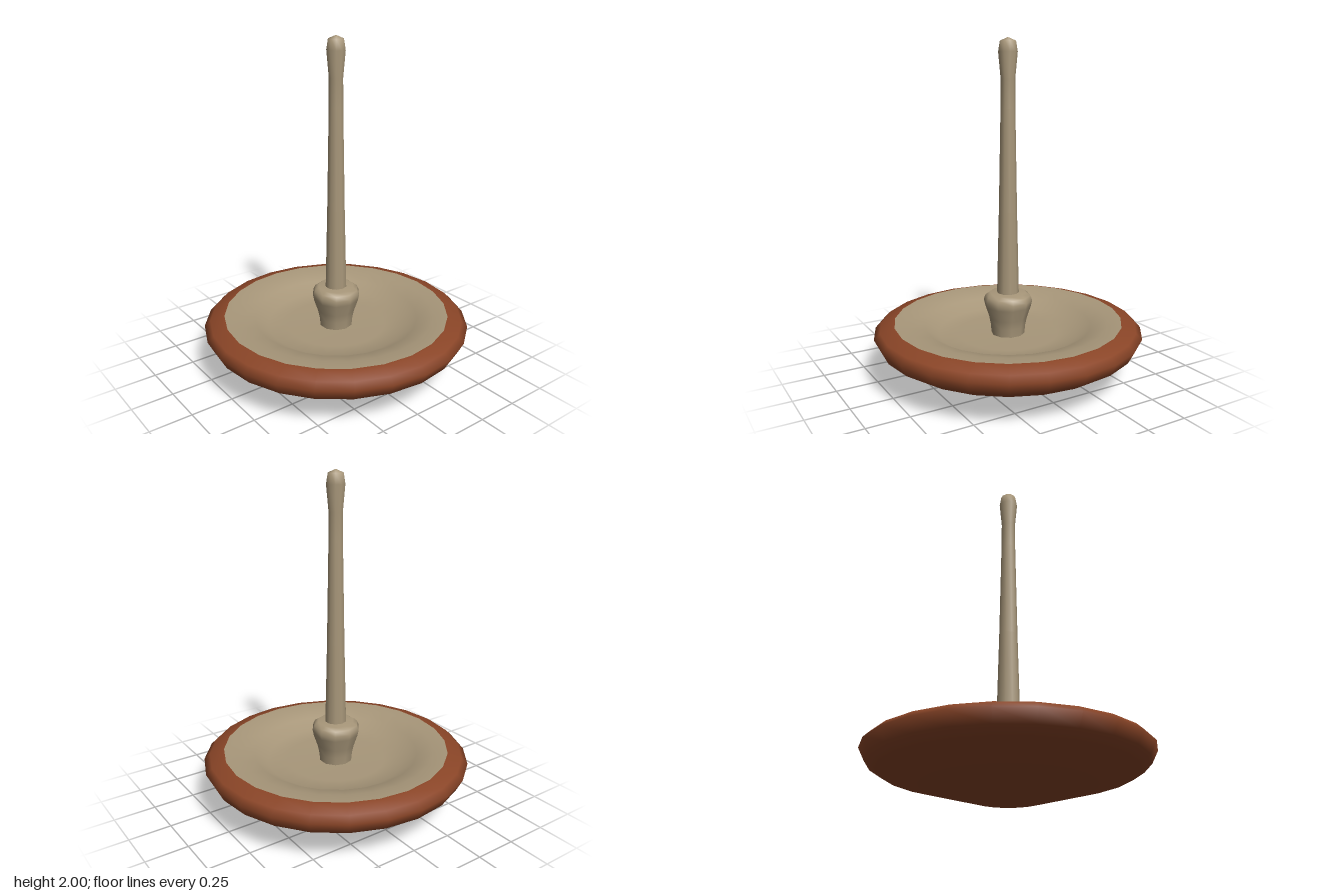
import * as THREE from 'three';

const material = (name, color) => {
  const m = new THREE.MeshStandardMaterial({ color });
  m.name = name;
  return m;
};

// Turned part: profile of [radius, height] from the bottom outside to the top
function turned(name, profile, sides, mat, start = 0) {
  const points = profile.map(([r, y]) => new THREE.Vector2(r, y));
  const mesh = new THREE.Mesh(new THREE.LatheGeometry(points, sides, start), mat);
  mesh.name = name;
  return mesh;
}

export function createModel() {
  const group = new THREE.Group();
  group.name = 'spindleDish';
  const brown = material('reddish brown', 0x8a4527);
  const beige = material('beige', 0xa8977a);

  // Shallow pointed underside and rounded rim
  group.add(turned('dishShell', [
    [0, 0], [0.2, 0.03], [0.46, 0.1], [0.7, 0.165], [0.77, 0.21],
    [0.806, 0.28], [0.77, 0.315], [0.7, 0.338], [0.685, 0.34],
  ], 24, brown));

  // Hollow lining with a step down to a flat floor
  group.add(turned('dishLining', [
    [0.685, 0.34], [0.6, 0.335], [0.5, 0.31], [0.42, 0.262], [0.3, 0.252], [0, 0.25],
  ], 24, beige));

  // Flared collar standing on the floor
  group.add(turned('collar', [
    [0.1, 0.245], [0.105, 0.3], [0.115, 0.35], [0.14, 0.425],
    [0.147, 0.46], [0.135, 0.488], [0.11, 0.505], [0, 0.508],
  ], 10, beige, Math.PI / 2));

  // Tapered rod with a bulbed tip
  group.add(turned('rod', [
    [0.066, 0.5], [0.054, 1.0], [0.043, 1.6], [0.042, 1.77],
    [0.056, 1.92], [0.046, 1.98], [0, 2],
  ], 10, beige, Math.PI / 2));

  return group;
}
